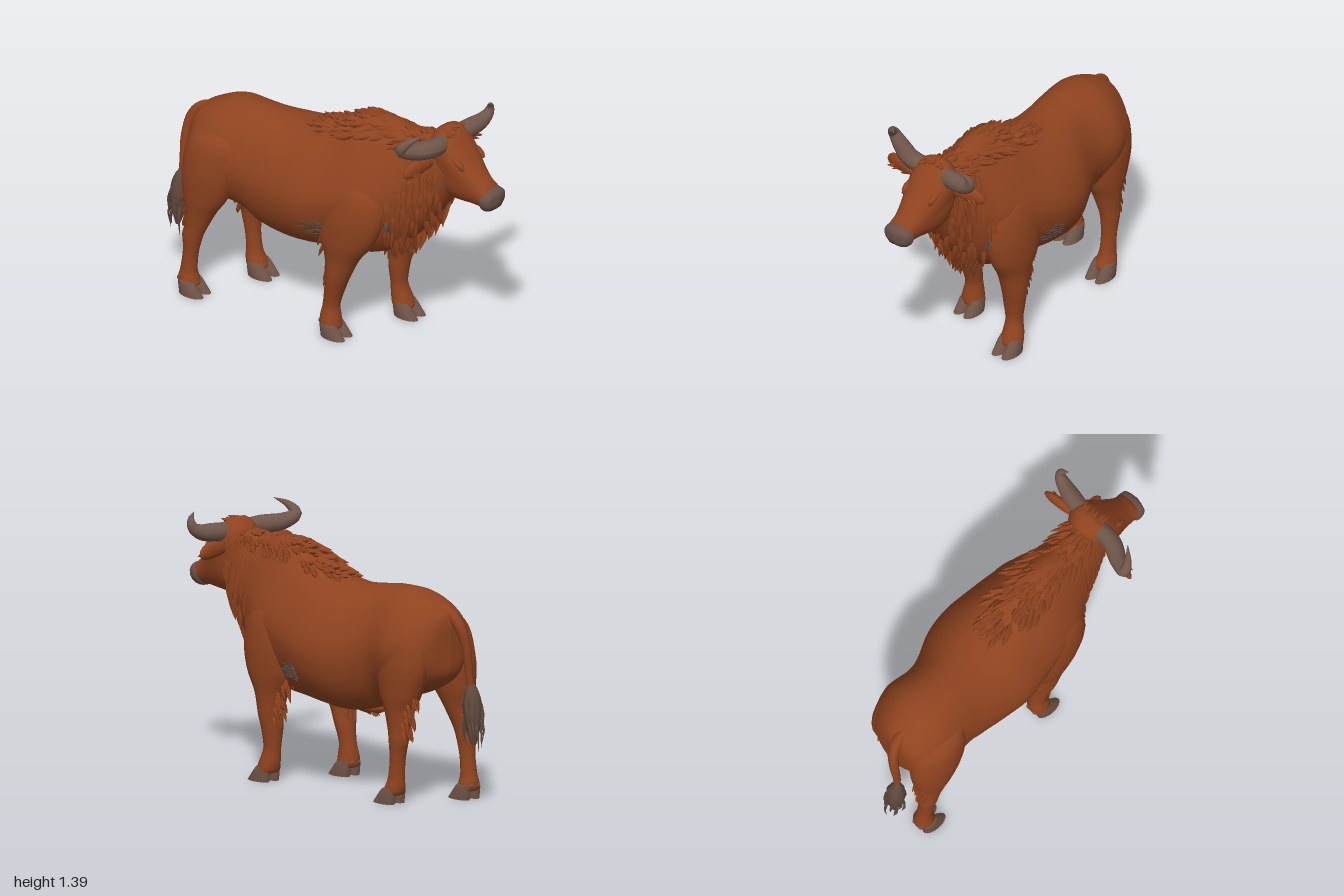
import * as THREE from 'three';
import { mergeGeometries, toCreasedNormals } from 'three/addons/utils/BufferGeometryUtils.js';

const V = (x, y, z) => new THREE.Vector3(x, y, z);
const mat = (name, color) => new THREE.MeshStandardMaterial({ name, color });

// Seeded random number in a range
let seed = 7;
const rnd = (a = 0, b = 1) => {
  seed = (seed * 16807) % 2147483647;
  return a + (b - a) * seed / 2147483647;
};

// Smoothly fill in rows between the key cross-sections
function spline(rows, m) {
  const out = [];
  for (let i = 0; i < rows.length - 1; i++) {
    const p = [-1, 0, 1, 2].map(k => rows[Math.min(rows.length - 1, Math.max(0, i + k))]);
    for (let j = 0; j < m; j++) {
      const t = j / m;
      out.push(p[1].map((b, k) => {
        const a = p[0][k], c = p[2][k], d = p[3][k];
        return b + 0.5 * t * (c - a + t * (2 * a - 5 * b + 4 * c - d + t * (3 * (b - c) + d - a)));
      }));
    }
  }
  out.push(rows[rows.length - 1]);
  return out;
}

// Ring points: lengthwise rows are [z, cx, top, bottom, halfWidth, pinch], upright rows [y, cx, cz, rx, rz]
const round = c => Math.sign(c) * Math.abs(c) ** 0.88;
const ringZ = (r, a) => {
  const s = Math.sin(a), w = Math.max(0, r[4]) * (1 - r[5] * Math.max(0, s));
  return V(r[1] + w * round(Math.cos(a)), (r[2] + r[3]) / 2 + (r[2] - r[3]) / 2 * s, r[0]);
};
const ringY = (r, a) =>
  V(r[1] + Math.max(0, r[3]) * Math.cos(a), r[0], r[2] + Math.max(0, r[4]) * Math.sin(a));

function loft(keys, ring, n = 32, m = 5) {
  const rows = spline(keys, m), pos = [], idx = [];
  rows.forEach((r, i) => {
    for (let j = 0; j < n; j++) {
      pos.push(...ring(r, j / n * Math.PI * 2).toArray());
      if (i === rows.length - 1) continue;
      const a = i * n + j, b = i * n + (j + 1) % n;
      idx.push(a, b, a + n, b, b + n, a + n);
    }
  });
  const g = new THREE.BufferGeometry();
  g.setAttribute('position', new THREE.Float32BufferAttribute(pos, 3));
  g.setIndex(idx);
  g.computeVertexNormals();
  return g;
}

// Point on a lengthwise surface at z and angle in degrees
function surf(keys, z, deg) {
  let i = 0;
  while (i < keys.length - 2 && keys[i + 1][0] < z) i++;
  const t = (z - keys[i][0]) / (keys[i + 1][0] - keys[i][0]);
  return ringZ(keys[i].map((v, k) => v + (keys[i + 1][k] - v) * t), deg * Math.PI / 180);
}

// Tube whose radius follows a rule along its length
function strand(points, radius, segs = 5, sides = 5) {
  const curve = new THREE.CatmullRomCurve3(points);
  const g = new THREE.TubeGeometry(curve, segs, 1, sides), p = g.attributes.position, v = V();
  for (let i = 0; i < p.count; i++) {
    const t = Math.floor(i / (sides + 1)) / segs, c = curve.getPointAt(t);
    v.fromBufferAttribute(p, i).sub(c).multiplyScalar(radius(t)).add(c);
    p.setXYZ(i, v.x, v.y, v.z);
  }
  g.computeVertexNormals();
  return g;
}

// A pointed lock of hair leaving p along dir, its tip raised along n
const lock = (p, dir, n, len, w, lift = 0.006) => strand([
  p.clone().addScaledVector(n, -w),
  p.clone().addScaledVector(dir, len * 0.5).addScaledVector(n, lift * 0.5 - w * 0.3),
  p.clone().addScaledVector(dir, len).addScaledVector(n, lift)],
t => w * (0.6 + t) * (1 - t) * 1.3 + 0.0005, 5, 5);

const BODY = [
  [-0.87, -0.08, 0.95, 0.74, 0, 0], [-0.85, -0.08, 1.02, 0.68, 0.13, 0.1], [-0.78, -0.075, 1.075, 0.62, 0.215, 0.15],
  [-0.65, -0.06, 1.125, 0.56, 0.258, 0.15], [-0.5, -0.055, 1.13, 0.52, 0.245, 0.15], [-0.4, -0.04, 1.12, 0.46, 0.26, 0.15],
  [-0.25, -0.01, 1.11, 0.43, 0.305, 0.15], [-0.1, -0.005, 1.13, 0.44, 0.325, 0.2], [0.05, 0, 1.19, 0.455, 0.305, 0.32],
  [0.2, 0, 1.27, 0.465, 0.28, 0.42], [0.32, 0.005, 1.28, 0.5, 0.25, 0.42], [0.42, 0.01, 1.255, 0.57, 0.2, 0.3],
  [0.5, 0.015, 1.25, 0.65, 0.155, 0.15], [0.58, 0.02, 1.27, 0.74, 0.13, 0.1], [0.66, 0.03, 1.28, 0.86, 0.11, 0],
  [0.72, 0.03, 1.25, 0.96, 0.09, 0], [0.75, 0.03, 1.2, 1.0, 0, 0]];
const HEAD = [
  [0.57, 0.04, 1.24, 1.08, 0, 0], [0.59, 0.04, 1.29, 1.0, 0.08, -0.2], [0.65, 0.042, 1.33, 0.95, 0.112, -0.4],
  [0.71, 0.042, 1.31, 0.925, 0.116, -0.42], [0.78, 0.036, 1.235, 0.925, 0.107, -0.32], [0.84, 0.032, 1.165, 0.93, 0.09, -0.15],
  [0.9, 0.028, 1.1, 0.93, 0.078, 0], [0.95, 0.026, 1.055, 0.935, 0.073, 0], [0.97, 0.026, 1.02, 0.96, 0, 0]];
const MUZZLE = [
  [0.91, 0.026, 1.03, 0.94, 0.04, 0], [0.922, 0.026, 1.05, 0.921, 0.079, -0.05], [0.955, 0.026, 1.05, 0.92, 0.083, -0.1],
  [0.985, 0.026, 1.037, 0.943, 0.067, -0.15], [1.0, 0.026, 1.01, 0.975, 0, 0]];
const FORELEG = [
  [1.03, 0.15, 0.2, 0, 0], [0.92, 0.175, 0.22, 0.085, 0.15], [0.76, 0.19, 0.225, 0.108, 0.192], [0.6, 0.2, 0.225, 0.098, 0.165],
  [0.48, 0.2, 0.225, 0.082, 0.1], [0.36, 0.205, 0.225, 0.068, 0.068], [0.28, 0.2, 0.22, 0.06, 0.056],
  [0.18, 0.2, 0.22, 0.047, 0.047], [0.1, 0.205, 0.235, 0.058, 0.058], [0.05, 0.205, 0.25, 0.06, 0.055], [0.045, 0.205, 0.25, 0, 0]];
const HINDLEG = [
  [1.03, 0.09, -0.62, 0, 0], [0.95, 0.13, -0.65, 0.1, 0.15], [0.77, 0.153, -0.665, 0.112, 0.172], [0.6, 0.163, -0.66, 0.096, 0.135],
  [0.5, 0.17, -0.66, 0.075, 0.09], [0.4, 0.18, -0.665, 0.055, 0.066], [0.34, 0.185, -0.668, 0.05, 0.057],
  [0.24, 0.185, -0.66, 0.042, 0.043], [0.14, 0.185, -0.65, 0.043, 0.046], [0.09, 0.185, -0.64, 0.054, 0.056],
  [0.05, 0.185, -0.625, 0.056, 0.055], [0.045, 0.185, -0.625, 0, 0]];
const TOE = [[0.088, 0, -0.035, 0, 0], [0.08, 0, -0.037, 0.028, 0.043], [0.06, 0, -0.028, 0.033, 0.053],
  [0, 0, 0, 0.036, 0.075], [0, 0, 0, 0, 0]];

export function createModel() {
  const root = new THREE.Group();
  root.name = 'bull';
  const coat = mat('rust coat', 0x8f431f), horn = mat('horn', 0x70564a), hoof = mat('hoof', 0x6e5346),
    nose = mat('muzzle grey', 0x695046), dark = mat('dark detail', 0x35261f), grey = mat('grey brown hair', 0x5f493d);
  const add = (name, geo, material, parent = root) => {
    const m = new THREE.Mesh(geo, material);
    m.name = name;
    parent.add(m);
    return m;
  };
  const ball = (name, material, p, s) => {
    const m = add(name, new THREE.SphereGeometry(1, 20, 14), material);
    m.position.set(...p);
    m.scale.set(...s);
    return m;
  };

  add('body', loft(BODY, ringZ, 40, 6), coat);
  add('head', loft(HEAD, ringZ, 36, 6), coat);
  add('muzzle', loft(MUZZLE, ringZ, 28, 5), nose);
  const lips = [[0.945, -25], [0.97, -42], [0.984, -65], [0.987, -90], [0.984, -115], [0.97, -138], [0.945, -155]];
  add('mouth', strand(lips.map(([z, a]) => surf(MUZZLE, z, a)), () => 0.003, 24, 6), dark);
  ball('sheath', coat, [-0.02, 0.455, -0.3], [0.05, 0.04, 0.12]);

  // Legs step with the left side forward; the stride fades out towards the hip
  const fur = [], greyFur = [];
  const leg = (name, keys, side, cx) => {
    const g = new THREE.Group();
    g.name = name;
    root.add(g);
    const rows = keys.map(([y, x, z, rx, rz]) =>
      [y, cx + side * x, z - (side < 0 ? 0.185 * Math.max(0, 1 - y / 0.85) : 0), rx, rz]);
    add(name + 'Limb', loft(rows, ringY, 24, 5), coat, g);
    const [, fx, fz] = rows[rows.length - 1];
    for (const s of [-1, 1]) {
      const toe = add('hoofToe', toCreasedNormals(loft(TOE, ringY, 18, 1), 0.7), hoof, g);
      toe.position.set(fx + s * 0.034, 0, fz + 0.035);
      const claw = add('dewClaw', new THREE.SphereGeometry(0.014, 10, 8), hoof, g);
      claw.position.set(fx + s * 0.022, 0.075, fz - 0.05);
    }
    // Hair down the back of the limb
    for (const r of spline(rows.slice(3, 6), 6)) {
      for (let k = 0; k < 2; k++) {
        fur.push(lock(V(r[1] + rnd(-0.5, 0.5) * r[3], r[0], r[2] - r[4] * 0.86), V(0, -1, -0.2), V(0, 0, -1), rnd(0.06, 0.09), 0.013));
      }
    }
  };
  for (const side of [1, -1]) {
    const s = side > 0 ? 'left' : 'right';
    leg(s + 'FrontLeg', FORELEG, side, 0);
    leg(s + 'HindLeg', HINDLEG, side, -0.08);

    // Face details
    ball(s + 'Eye', grey, [0.035 + side * 0.09, 1.152, 0.812], [0.011, 0.011, 0.017]);
    const brow = ball(s + 'Brow', coat, [0.036 + side * 0.092, 1.178, 0.79], [0.018, 0.014, 0.042]);
    brow.rotation.x = 0.6;
    ball(s + 'Nostril', dark, [0.026 + side * 0.04, 1.008, 0.981], [0.014, 0.008, 0.01]);

    // Ears taper towards head and tip
    const eg = new THREE.SphereGeometry(1, 24, 16), p = eg.attributes.position;
    for (let i = 0; i < p.count; i++) {
      const x = p.getX(i);
      p.setXYZ(i, x * 0.11, p.getY(i) * 0.044 * (1 + 0.25 * x) - 0.012 * x * x, p.getZ(i) * 0.026);
    }
    eg.computeVertexNormals();
    const ear = add(s + 'Ear', eg, coat);
    ear.position.set(0.01 + side * 0.222, 1.178, 0.645);
    ear.rotation.y = side > 0 ? 0.15 : Math.PI - 0.15;
    for (let k = 0; k < 9; k++) {
      fur.push(lock(V(0.01 + side * rnd(0.15, 0.27), 1.165, 0.66), V(side * 0.8, rnd(-0.5, -0.2), 0.1), V(0, 0, 1), rnd(0.04, 0.065), 0.01));
    }
  }

  // Horns sweep out, then hook up and in
  const hornRadius = t => 0.043 * (1 - t ** 2.6) * (1 + 0.25 * Math.sin(t * Math.PI)) + 0.001;
  add('rightHorn', strand([V(0.02, 1.255, 0.67), V(-0.12, 1.26, 0.672), V(-0.235, 1.272, 0.62),
    V(-0.303, 1.305, 0.597), V(-0.288, 1.35, 0.635), V(-0.23, 1.388, 0.69)], hornRadius, 30, 16), horn);
  add('leftHorn', strand([V(0.06, 1.255, 0.67), V(0.19, 1.258, 0.69), V(0.27, 1.268, 0.705),
    V(0.312, 1.295, 0.715), V(0.32, 1.335, 0.725), V(0.28, 1.374, 0.745)], hornRadius, 30, 16), horn);

  // Tail with a dark tuft
  add('tail', strand([V(-0.085, 1.03, -0.72), V(-0.1, 1.02, -0.83), V(-0.12, 0.96, -0.888), V(-0.15, 0.84, -0.912),
    V(-0.17, 0.7, -0.912), V(-0.18, 0.6, -0.92)], t => 0.037 - 0.02 * t, 28, 12), coat);
  const tuft = [strand([V(-0.18, 0.65, -0.918), V(-0.18, 0.5, -0.93), V(-0.18, 0.32, -0.94)],
    t => 0.012 + 0.04 * Math.sin(Math.PI * t ** 0.8), 12, 10)];
  for (let k = 0; k < 34; k++) {
    const a = rnd(0, Math.PI * 2), c = Math.cos(a), s = Math.sin(a), y = rnd(0.48, 0.64), d = rnd(0.04, 0.058);
    tuft.push(strand([V(-0.18 + c * 0.012, y, -0.92 + s * 0.012), V(-0.18 + c * d, y - 0.1, -0.935 + s * d),
      V(-0.18 + c * 0.03, y - rnd(0.16, 0.22), -0.94 + s * 0.05)], t => 0.015 * (0.5 + t) * (1 - t) + 0.0005, 5, 4));
  }
  add('tailTuft', mergeGeometries(tuft), grey);

  // Mane along the crest, hanging hair on neck and throat
  for (let k = 0; k < 200; k++) {
    const z = rnd(-0.1, 0.64), spread = z < 0.1 ? 10 + (z + 0.1) * 110 : 36;
    const a = 90 + rnd(-1, 1) * spread, c = Math.cos(a * Math.PI / 180);
    fur.push(lock(surf(BODY, z, a), V(c * 0.8, -0.25 - 0.3 * Math.abs(c), -0.8), V(c, 1 - Math.abs(c), 0), rnd(0.07, 0.12), rnd(0.016, 0.024), rnd(0.005, 0.035)));
  }
  for (let k = 0; k < 170; k++) {
    const side = k % 2 ? 1 : -1, z = rnd(0.4, 0.67), e = rnd(-85, 45), a = side > 0 ? e : 180 - e;
    const turn = e * Math.PI / 180;
    fur.push(lock(surf(BODY, z, a), V(side * Math.sin(turn) * 0.3, -0.92, -0.18),
      V(side * Math.cos(turn) * 0.8, 0, 0.4), rnd(0.1, 0.16), rnd(0.015, 0.022), 0.012));
  }
  // Forelock
  for (let k = 0; k < 16; k++) {
    const a = rnd(65, 115);
    fur.push(lock(surf(HEAD, rnd(0.62, 0.68), a), V(rnd(-0.3, 0.3), -0.2, 0.8), V(0, 1, 0.2), rnd(0.06, 0.09), 0.014, 0.014));
  }
  // Belly fringe
  for (let k = 0; k < 10; k++) {
    fur.push(lock(V(rnd(-0.04, 0.01), 0.435, rnd(-0.36, -0.22)), V(0, -0.4, -0.9), V(0, -1, 0), 0.05, 0.01));
  }
  add('maneAndFur', mergeGeometries(fur), coat);

  // Grey hair patches on flank and chest
  for (const side of [1, -1]) {
    for (let k = 0; k < 34; k++) {
      const e = rnd(-36, -21), p = surf(BODY, rnd(-0.02, 0.1), side > 0 ? e : 180 - e);
      greyFur.push(lock(p, V(0, rnd(-0.35, 0.1), -1), V(side, 0, 0), rnd(0.06, 0.09), 0.013, 0.01));
    }
    for (let k = 0; k < 16; k++) {
      const p = V(side * rnd(0.13, 0.195), rnd(0.73, 0.765), 0.417);
      greyFur.push(lock(p, V(side * 0.2, -0.8, -0.05), V(0, 0, 1), 0.05, 0.013, 0.008));
    }
  }
  add('greyHairPatches', mergeGeometries(greyFur), grey);
  return root;
}
